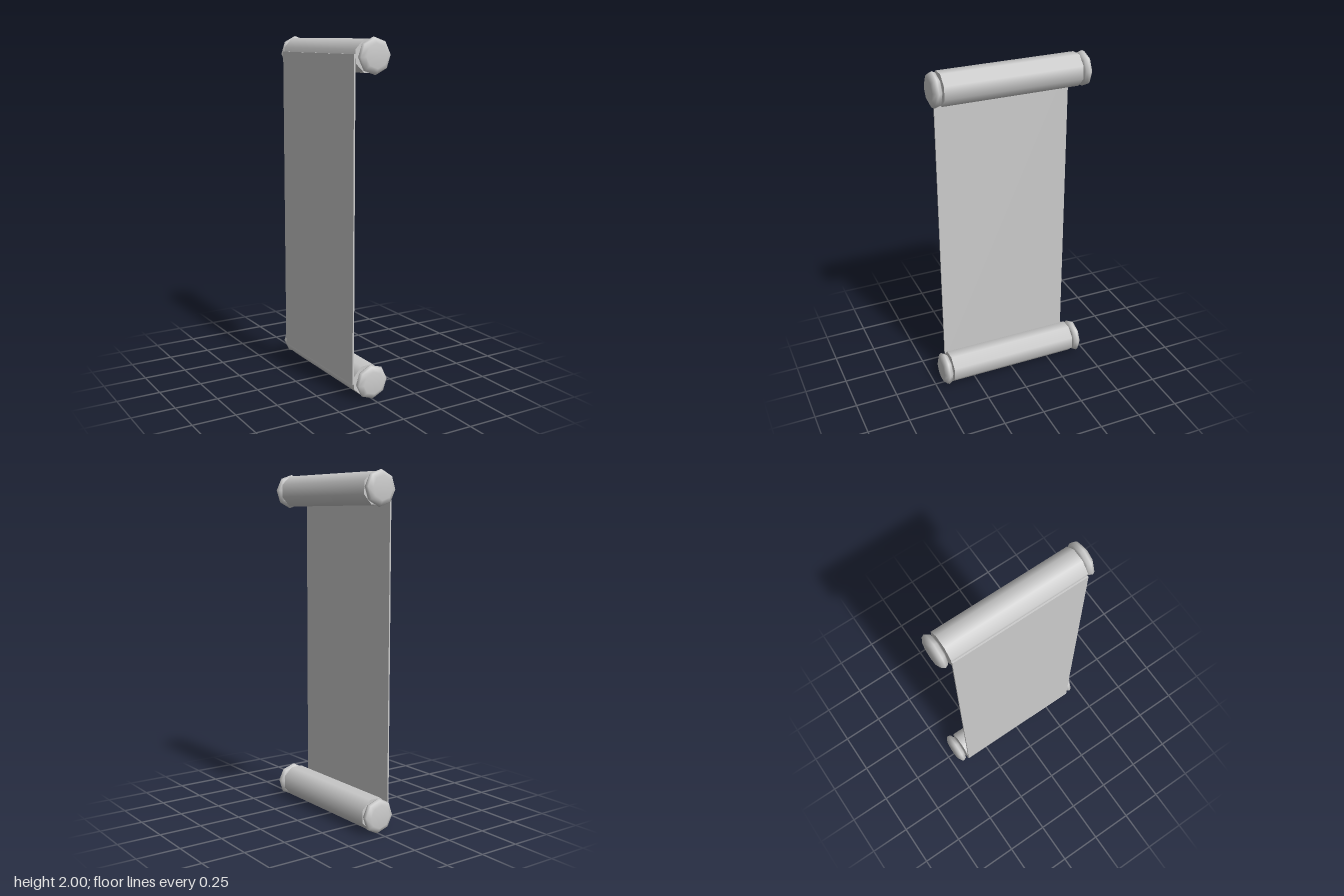
import * as THREE from 'three';

const material = new THREE.MeshStandardMaterial({ color: 0xcccccc });
const SIDES = 8;

function addMesh(parent, name, geometry, x, y, z) {
  const mesh = new THREE.Mesh(geometry, material);
  mesh.name = name;
  mesh.position.set(x, y, z);
  parent.add(mesh);
  return mesh;
}

export function createModel() {
  const group = new THREE.Group();
  group.name = 'hangingScroll';

  // eight-sided rod, lying along z
  const roller = new THREE.CylinderGeometry(0.095, 0.095, 0.8, SIDES);
  roller.rotateX(Math.PI / 2).rotateZ(Math.PI / SIDES + 0.03);

  // flattened, rounded end knob, outer face towards +z
  const profile = [
    [0, -0.027], [0.072, -0.027], [0.09, -0.018], [0.1, 0],
    [0.092, 0.014], [0.066, 0.027], [0, 0.027],
  ].map(([r, h]) => new THREE.Vector2(r, h));
  const knob = new THREE.LatheGeometry(profile, SIDES);
  knob.rotateX(Math.PI / 2).rotateZ(0.07);

  // the same roller and pair of knobs at the top and bottom
  for (const [end, y] of [['top', 1.904], ['bottom', 0.103]]) {
    addMesh(group, end + 'Roller', roller, -0.007, y, 0);
    addMesh(group, end + 'FrontKnob', knob, 0, y, 0.433);
    addMesh(group, end + 'BackKnob', knob, 0, y, -0.433).scale.z = -1;
  }

  // sheet stretched between the rollers, on their outer side
  addMesh(group, 'paper', new THREE.BoxGeometry(0.009, 1.82, 0.8), -0.1, 1.003, 0);

  return group;
}
